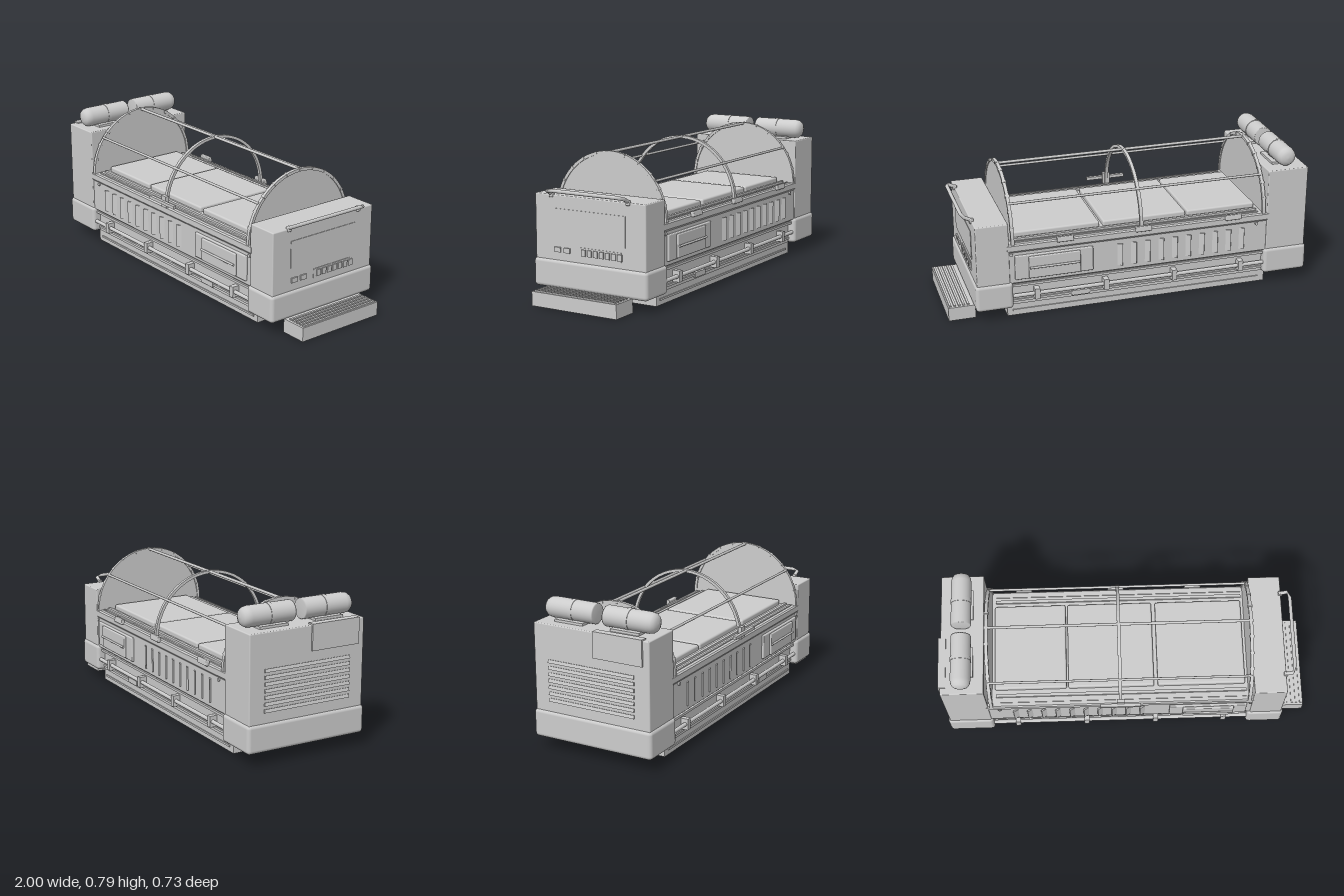
import * as THREE from 'three';
import { RoundedBoxGeometry } from 'three/addons/geometries/RoundedBoxGeometry.js';

const grey = new THREE.MeshStandardMaterial({ color: 0xcccccc });
grey.name = 'light grey';

export function createModel() {
  const root = new THREE.Group();
  root.name = 'medicalPod';

  const add = (name, geo, x = 0, y = 0, z = 0) => {
    const m = new THREE.Mesh(geo, grey);
    m.name = name;
    m.position.set(x, y, z);
    root.add(m);
    return m;
  };
  // Boxes are given by their limits on each axis
  const box = (name, x0, x1, y0, y1, z0, z1, r = 0) => {
    const s = [x1 - x0, y1 - y0, z1 - z0];
    const geo = r ? new RoundedBoxGeometry(...s, 3, r) : new THREE.BoxGeometry(...s);
    return add(name, geo, (x0 + x1) / 2, (y0 + y1) / 2, (z0 + z1) / 2);
  };
  // A box on the side s (+1 front, -1 back), with distances from the centre
  const sideBox = (name, s, x0, x1, y0, y1, z0, z1, r = 0) =>
    box(name, x0, x1, y0, y1, Math.min(s * z0, s * z1), Math.max(s * z0, s * z1), r);
  const rod = (name, x0, x1, y, z, r) =>
    add(name, new THREE.CylinderGeometry(r, r, x1 - x0, 10).rotateZ(Math.PI / 2), (x0 + x1) / 2, y, z);
  const tube = (name, pts, r) => {
    const path = new THREE.CurvePath();
    const v = pts.map(p => new THREE.Vector3(...p));
    for (let i = 1; i < v.length; i++) path.add(new THREE.LineCurve3(v[i - 1], v[i]));
    return add(name, new THREE.TubeGeometry(path, (v.length - 1) * 4, r, 10));
  };

  // Plinth and entry step
  box('plinth', -0.775, 0.69, 0, 0.08, -0.29, 0.29);
  box('step', 0.855, 1, 0, 0.075, -0.257, 0.257);
  for (let i = 0; i < 5; i++) {
    const x = 0.885 + i * 0.024;
    box('stepTread', x, x + 0.012, 0.075, 0.082, -0.245, 0.245);
  }
  for (const s of [1, -1]) sideBox('plinthTrim', s, -0.74, 0.66, 0.025, 0.035, 0.288, 0.296);

  // Main hull, a cross-section drawn out between the two end housings
  const half = [[0.3, 0.07], [0.3, 0.18], [0.315, 0.2], [0.33, 0.21], [0.33, 0.385], [0.337, 0.395], [0.337, 0.425], [0.33, 0.432]];
  const section = new THREE.Shape([
    ...half.map(p => new THREE.Vector2(...p)),
    ...half.slice().reverse().map(([z, y]) => new THREE.Vector2(-z, y))
  ]);
  const hull = new THREE.ExtrudeGeometry(section, { depth: 1.46, bevelEnabled: false });
  add('hull', hull.rotateY(Math.PI / 2), -0.77, 0, 0);

  // End housings with rounded bumpers
  box('headHousing', -0.99, -0.76, 0.2, 0.675, -0.336, 0.336, 0.006);
  box('footHousing', 0.68, 0.855, 0.2, 0.552, -0.336, 0.336, 0.006);
  box('headBumper', -1, -0.75, 0.068, 0.218, -0.346, 0.346, 0.02);
  box('footBumper', 0.665, 0.865, 0.068, 0.218, -0.346, 0.346, 0.02);

  // Equipment repeated on both long sides
  for (const s of [1, -1]) {
    rod('guardRail', -0.75, 0.665, 0.132, s * 0.325, 0.011);
    sideBox('lowerTrim', s, -0.75, 0.665, 0.088, 0.1, 0.295, 0.308);
    sideBox('lowerTrim', s, -0.75, 0.665, 0.182, 0.195, 0.295, 0.322);
    sideBox('servicePlate', s, 0.24, 0.34, 0.08, 0.108, 0.3, 0.312);
    for (const x of [-0.615, -0.23, 0.155, 0.535]) {
      sideBox('railClamp', s, x - 0.014, x + 0.014, 0.102, 0.162, 0.298, 0.341);
    }
    // Slanted cooling louvres
    for (let i = 0; i < 10; i++) {
      const x = -0.612 + i * 0.077;
      const fin = sideBox('louvre', s, x - 0.018, x + 0.018, 0.235, 0.36, 0.328, 0.336);
      fin.rotation.y = s * 0.5;
    }
    // Drawer and its pull
    sideBox('drawer', s, 0.228, 0.652, 0.23, 0.368, 0.325, 0.342, 0.006);
    sideBox('drawerFront', s, 0.3, 0.58, 0.235, 0.36, 0.34, 0.354, 0.006);
    rod('drawerPull', 0.305, 0.575, 0.298, s * 0.358, 0.006);
    for (const x of [-0.7, 0.67]) {
      add('bolt', new THREE.CylinderGeometry(0.009, 0.009, 0.012, 10).rotateX(Math.PI / 2), x, 0.375, s * 0.332);
    }
    // Deck strips beside the mattress
    sideBox('deckStrip', s, -0.715, 0.645, 0.43, 0.443, 0.265, 0.282);
    sideBox('deckStrip', s, -0.715, 0.645, 0.43, 0.438, 0.3, 0.312);
    rod('canopyRail', -0.74, 0.66, 0.635, s * 0.266, 0.007);
  }

  // Mattress in three sections
  for (const [a, b] of [[-0.72, -0.33], [-0.32, 0.145], [0.165, 0.64]]) {
    box('mattress', a, b, 0.42, 0.46, -0.24, 0.24, 0.01);
  }

  // Canopy: end panels, arches, joints and the top rail
  const R = 0.338, cy = 0.43;
  const arch = w => {
    const ring = new THREE.Shape();
    ring.absarc(0, 0, R, 0, Math.PI, false);
    ring.absarc(0, 0, R - 0.016, Math.PI, 0, true);
    return new THREE.ExtrudeGeometry(ring, { depth: w, bevelEnabled: false, curveSegments: 14 })
      .translate(0, 0, -w / 2).rotateY(Math.PI / 2);
  };
  for (const x of [-0.74, -0.04, 0.66]) {
    add('canopyArch', arch(0.018), x, cy, 0);
    if (x === -0.04) continue;
    const disc = new THREE.Shape();
    disc.absarc(0, 0, R - 0.014, 0, Math.PI, false);
    const panel = new THREE.ExtrudeGeometry(disc, { depth: 0.008, bevelEnabled: false, curveSegments: 14 });
    add('canopyEndPanel', panel.translate(0, 0, -0.004).rotateY(Math.PI / 2), x, cy, 0);
    for (let i = 1; i < 12; i++) {
      const a = i * Math.PI / 12;
      const j = add('archJoint', new THREE.BoxGeometry(0.024, 0.014, 0.012), x, cy + Math.sin(a) * (R - 0.006), Math.cos(a) * (R - 0.006));
      j.rotation.x = Math.PI / 2 - a;
    }
  }
  rod('canopyRail', -0.74, 0.66, 0.762, 0, 0.008);

  // Canopy hinges at the back and lifting handle at the front
  for (const x of [0.38, -0.05, -0.56]) {
    const h = box('canopyHinge', x - 0.045, x + 0.045, 0.42, 0.45, -0.351, -0.33, 0.005);
    h.rotation.x = 0.15;
  }
  box('canopyHandle', -0.15, 0.07, 0.453, 0.47, 0.346, 0.364);
  box('canopyHandleMount', -0.06, -0.02, 0.43, 0.495, 0.328, 0.349);

  // Twin gas bottles on the head housing
  const bottle = [[0, 0], [0.05, 0], [0.054, 0.006], [0.054, 0.25], [0.05, 0.272], [0.04, 0.286], [0.022, 0.294], [0, 0.296]]
    .map(p => new THREE.Vector2(...p));
  for (const s of [1, -1]) {
    add('gasBottle', new THREE.LatheGeometry(bottle, 28).rotateX(s * Math.PI / 2), -0.875, 0.732, s * 0.027);
    add('bottleBand', new THREE.CylinderGeometry(0.0565, 0.0565, 0.02, 28).rotateX(Math.PI / 2), -0.875, 0.732, s * 0.162);
    sideBox('bottleCradle', s, -0.935, -0.815, 0.67, 0.688, 0.08, 0.245);
  }

  // Ventilation slats and service box on the head end
  for (let i = 0; i < 7; i++) {
    const y = 0.27 + i * 0.034;
    const slat = box('rearSlat', -0.998, -0.985, y, y + 0.018, -0.25, 0.25);
    slat.rotation.z = -0.25;
  }
  box('serviceBox', -1, -0.96, 0.545, 0.682, 0.02, 0.3);

  // Control panel on the foot end
  box('screen', 0.85, 0.858, 0.323, 0.483, -0.217, 0.22);
  box('keypad', 0.85, 0.858, 0.246, 0.296, -0.192, 0.065);
  for (let i = 0; i < 7; i++) {
    const z = 0.047 - i * 0.0365;
    box('key', 0.855, 0.864, 0.254, 0.288, z - 0.026, z);
  }
  for (const z of [0.195, 0.136]) box('button', 0.85, 0.863, 0.258, 0.284, z - 0.019, z + 0.019);

  // Push bar
  tube('pushBar', [[0.845, 0.552, 0.233], [0.9, 0.58, 0.233], [0.9, 0.58, -0.233], [0.845, 0.552, -0.233]], 0.01);
  for (const s of [1, -1]) sideBox('pushBarMount', s, 0.84, 0.864, 0.538, 0.565, 0.222, 0.244, 0.005);

  return root;
}
